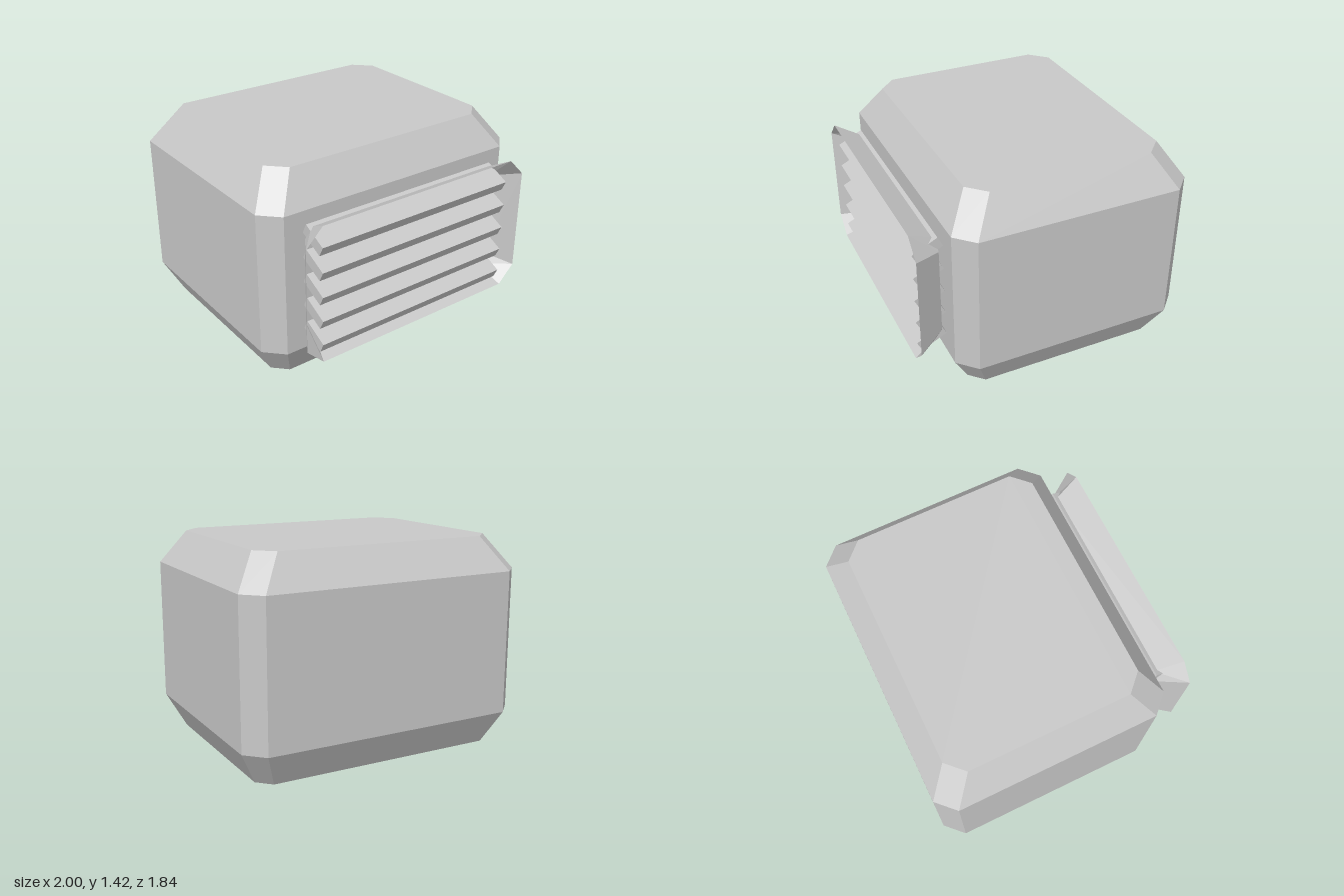
import * as THREE from 'three';

const grey = new THREE.MeshStandardMaterial({ color: 0xc8c8c8 });
grey.name = 'light grey';
grey.side = THREE.DoubleSide;

// Rectangle with cut corners: half sizes hx, hy, corner cuts cx, cy, at depth z
function ring(hx, hy, cx, cy, z) {
  return [
    [hx, -hy + cy], [hx, hy - cy], [hx - cx, hy], [-hx + cx, hy],
    [-hx, hy - cy], [-hx, -hy + cy], [-hx + cx, -hy], [hx - cx, -hy],
  ].map(([x, y]) => new THREE.Vector3(x, y, z));
}

// Flat-faced skin through rings of increasing z, with optional end caps
function loft(rings, capped) {
  const tris = [];
  const n = rings[0].length;
  for (let r = 0; r < rings.length - 1; r++) {
    const a = rings[r], b = rings[r + 1];
    for (let i = 0; i < n; i++) {
      const j = (i + 1) % n;
      tris.push(a[i], a[j], b[j], a[i], b[j], b[i]);
    }
  }
  if (capped) {
    const a = rings[0], b = rings[rings.length - 1];
    for (let i = 1; i < n - 1; i++) tris.push(a[0], a[i + 1], a[i], b[0], b[i], b[i + 1]);
  }
  const geometry = new THREE.BufferGeometry().setFromPoints(tris);
  geometry.computeVertexNormals();
  return geometry;
}

export function createModel() {
  const model = new THREE.Group();
  model.name = 'ventUnit';

  const add = (name, geometry, parent = model) => {
    const mesh = new THREE.Mesh(geometry, grey);
    mesh.name = name;
    parent.add(mesh);
    return mesh;
  };

  // Chamfered housing, lofted upwards
  const housing = loft([
    ring(0.88, 0.69, 0.09, 0.09, 0),
    ring(1, 0.81, 0.12, 0.12, 0.23),
    ring(1, 0.81, 0.12, 0.12, 1.2),
    ring(0.85, 0.665, 0.115, 0.115, 1.425),
  ], true);
  housing.rotateX(-Math.PI / 2);
  add('housing', housing).position.z = -0.11;

  // Thin flared frame around the vent
  const frame = loft([
    ring(0.76, 0.375, 0.05, 0.075, 0.735),
    ring(0.88, 0.473, 0.12, 0.12, 0.92),
  ], false);
  add('ventFrame', frame).position.y = 0.728;

  // Five slats tilted down towards the front
  const slats = new THREE.Group();
  slats.name = 'slats';
  model.add(slats);
  const slat = new THREE.BoxGeometry(1.5, 0.076, 0.188);
  for (let i = 0; i < 5; i++) {
    const mesh = add('slat', slat, slats);
    mesh.position.set(0, 0.372 + i * 0.17, 0.802);
    mesh.rotation.x = 0.46;
  }

  return model;
}
